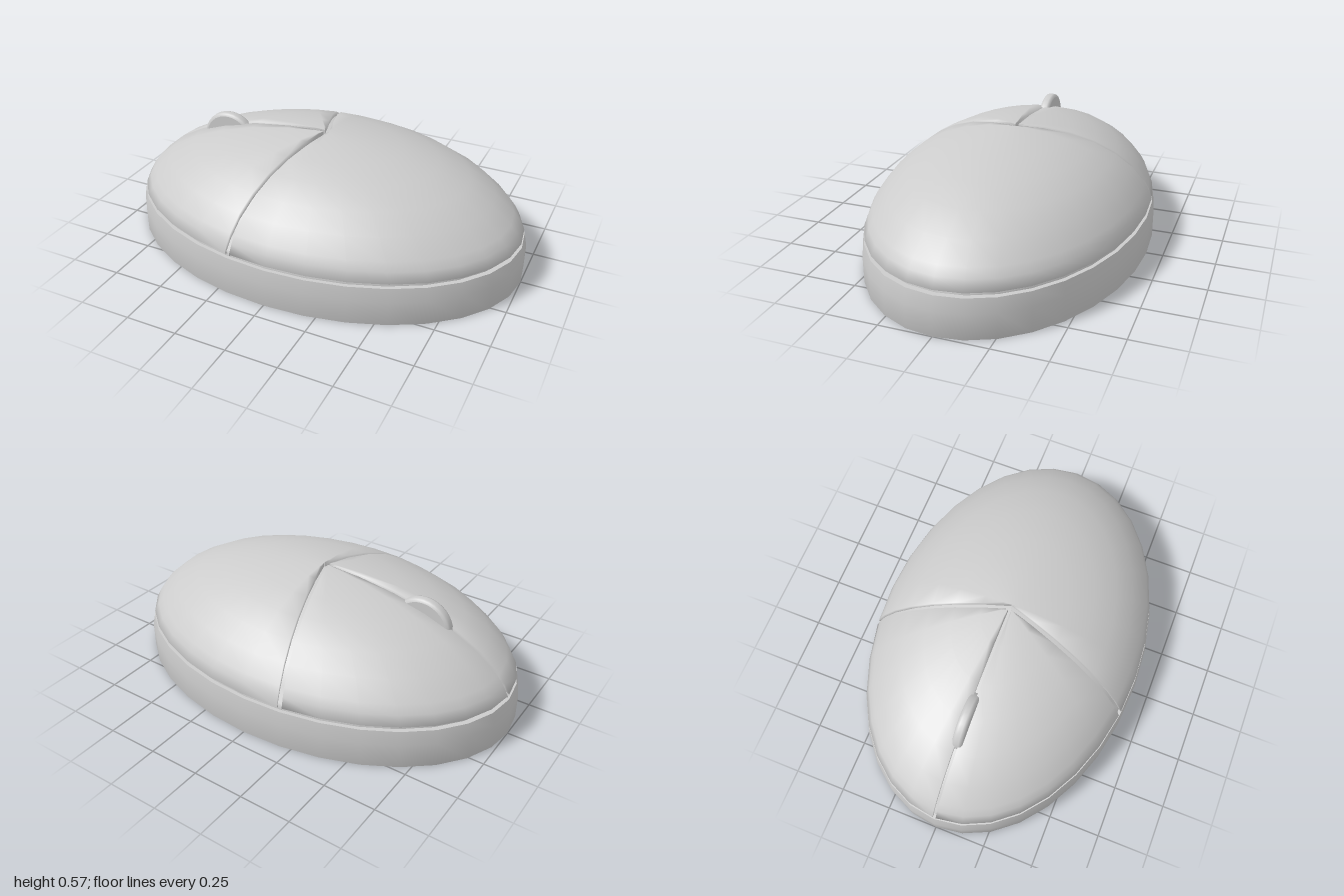
import * as THREE from 'three';

const DEPTH = 0.67;      // z / x ratio of the oval
const MID = 0.12;        // height of the widest section
const RISE = 0.452;      // dome height above it
const GAP = 0.012;       // half width of the seams
const material = new THREE.MeshStandardMaterial({ color: 0xcccccc, side: THREE.DoubleSide });

function addMesh(group, name, geometry) {
  const mesh = new THREE.Mesh(geometry, material);
  mesh.name = name;
  group.add(mesh);
  return mesh;
}

// Turned shape squeezed to the oval; a repeated point makes a hard edge
function ovalLathe(points) {
  const profile = points.map(([r, y]) => new THREE.Vector2(r, y));
  return new THREE.LatheGeometry(profile, 32).scale(1, 1, DEPTH);
}

// Points of the dome profile from the top down to the rim
const domeY = (r) => MID + RISE * Math.sqrt(1 - r * r);
const step = Math.PI / 16;

// One sector of the dome, with seam walls and a folded-under rim
function domePanel(from, to, columns) {
  const half = (to - from) / 2;
  const tip = GAP / Math.sin(half);
  const rows = [[tip, domeY(tip)], [0.06, domeY(0.06)]];
  for (const k of [1, 2, 3, 4, 5, 6, 6.45, 7]) {
    const r = Math.sin(k * step);
    rows.push([r, domeY(r)]);
  }
  rows.push([0.945, 0.207]);

  const positions = [];
  const indices = [];
  const width = columns + 3;
  rows.forEach(([r, y], i) => {
    const inset = Math.min(Math.asin(Math.min(GAP / r, 1)), half);
    for (let j = 0; j < width; j++) {
      const t = THREE.MathUtils.clamp((j - 1) / columns, 0, 1);
      const a = THREE.MathUtils.lerp(from + inset, to - inset, t);
      const sunk = j === 0 || j === width - 1;
      positions.push(r * Math.cos(a), sunk ? Math.max(y - 0.03, 0.2) : y, DEPTH * r * Math.sin(a));
      if (i > 0 && j > 0) {
        const d = i * width + j, c = d - 1, b = d - width, p = b - 1;
        indices.push(p, b, c, b, d, c);
      }
    }
  });
  const geometry = new THREE.BufferGeometry();
  geometry.setAttribute('position', new THREE.Float32BufferAttribute(positions, 3));
  geometry.setIndex(indices);
  geometry.computeVertexNormals();
  return geometry;
}

export function createModel() {
  const group = new THREE.Group();
  group.name = 'computerMouse';

  // Lower shell
  addMesh(group, 'base', ovalLathe([
    [0, 0], [0.97, 0], [1, 0], [1, MID], [0.985, 0.187], [0.985, 0.187], [0.94, 0.187],
  ]));

  // Inner body seen at the bottom of the seams
  const core = [[0.96, 0.18], [0.96, 0.21], [0.94, 0.21]];
  for (let k = 6; k >= 0; k--) core.push([0.96 * Math.sin(k * step), MID + 0.43 * Math.cos(k * step)]);
  addMesh(group, 'core', ovalLathe(core));

  // Upper shell: palm rest and two buttons
  const seam = Math.PI / 2 + step;
  addMesh(group, 'palmRest', domePanel(-seam, seam, 18));
  addMesh(group, 'leftButton', domePanel(seam, Math.PI, 7));
  addMesh(group, 'rightButton', domePanel(Math.PI, 2 * Math.PI - seam, 7));

  // Scroll wheel with rounded shoulders
  const wheelProfile = [
    [0, -0.025], [0.128, -0.025], [0.128, -0.025], [0.139, -0.02], [0.143, -0.01],
    [0.143, 0.01], [0.139, 0.02], [0.128, 0.025], [0.128, 0.025], [0, 0.025],
  ].map(([r, y]) => new THREE.Vector2(r, y));
  const wheel = addMesh(group, 'scrollWheel', new THREE.LatheGeometry(wheelProfile, 32));
  wheel.rotation.x = Math.PI / 2;
  wheel.position.set(-0.538, 0.419, 0);

  return group;
}
